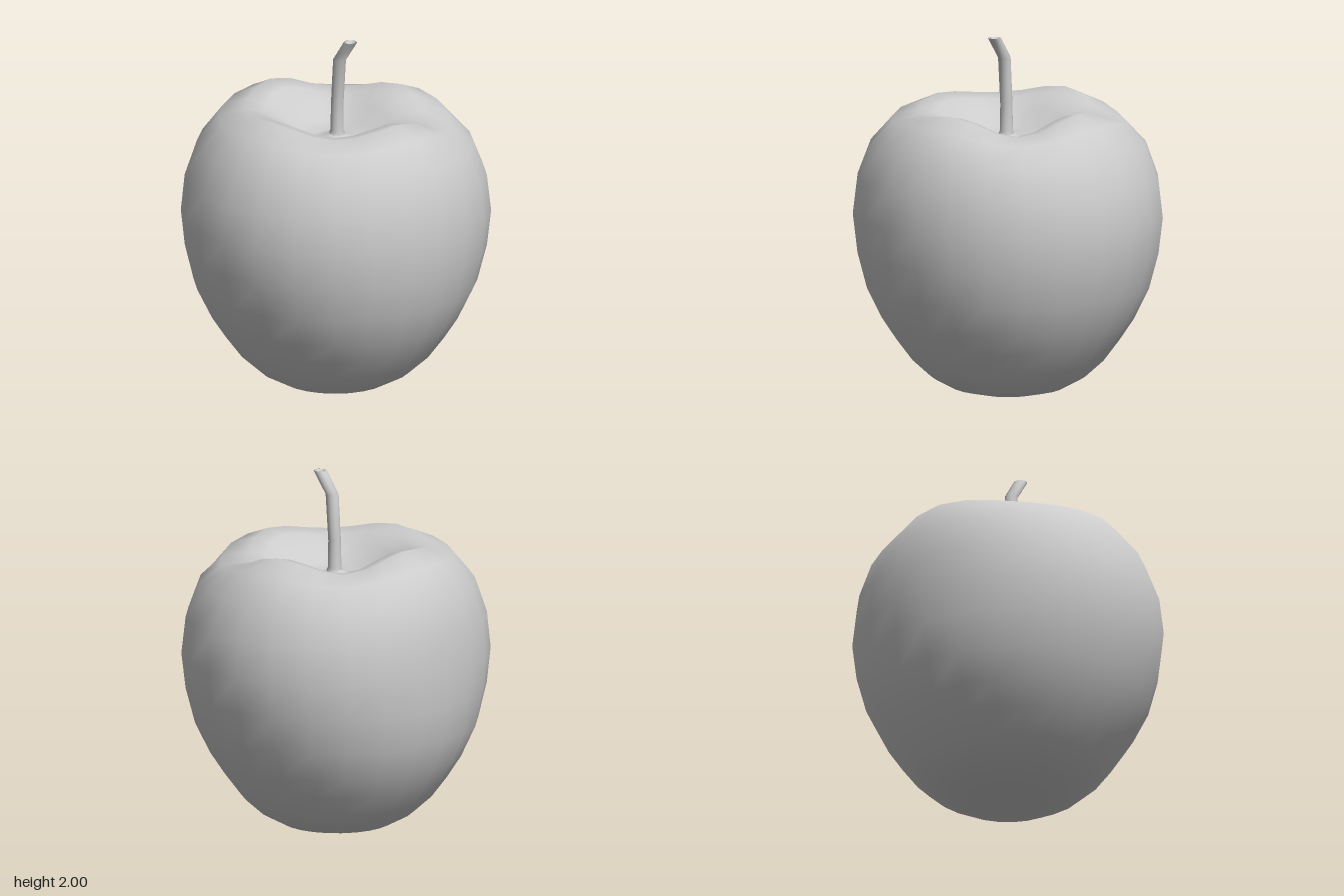
import * as THREE from 'three';

// Skin a stack of closed rings, bottom to top, with shared vertices for smooth normals
function loft(ringCount, sides, pointAt) {
  const pos = [], idx = [];
  for (let i = 0; i < ringCount; i++) {
    for (let j = 0; j < sides; j++) {
      pos.push(...pointAt(i, (j / sides) * Math.PI * 2));
      if (i === ringCount - 1) continue;
      const k = (j + 1) % sides;
      const a = i * sides + j, b = i * sides + k;
      idx.push(a, a + sides, b, b, a + sides, b + sides);
    }
  }
  const geo = new THREE.BufferGeometry();
  geo.setAttribute('position', new THREE.Float32BufferAttribute(pos, 3));
  geo.setIndex(idx);
  geo.computeVertexNormals();
  return geo;
}

// Height change of the shoulder rim every 45 degrees, from +x towards +z
const LOBES = [-0.01, -0.055, 0, -0.03, 0.025, -0.07, -0.005, -0.11];
function lobe(angle) {
  const t = (angle / (Math.PI / 4)) % 8;
  const i = Math.floor(t), f = (1 - Math.cos((t - i) * Math.PI)) / 2;
  return LOBES[i] * (1 - f) + LOBES[(i + 1) % 8] * f;
}

// Fruit rings: radius, height, share of the rim waviness, flattening of the sides
const FRUIT = [
  [0.002, 0.02, 0, 0], [0.08, 0.01, 0, 0], [0.165, 0.002, 0, 0], [0.31, 0.035, 0, 0],
  [0.43, 0.1, 0, 0], [0.53, 0.19, 0, 0], [0.62, 0.31, 0, 0],
  [0.7, 0.43, 0, 0.1], [0.785, 0.6, 0, 0.3], [0.84, 0.8, 0, 0.75],
  [0.865, 1.0, 0, 1], [0.84, 1.205, 0, 0.75], [0.765, 1.405, 0.15, 0.2],
  [0.645, 1.56, 0.65, 0], [0.5, 1.62, 1, 0], [0.4, 1.595, 0.85, 0],
  [0.31, 1.53, 0.5, 0], [0.22, 1.45, 0.2, 0], [0.14, 1.42, 0, 0],
  [0.07, 1.435, 0, 0], [0.03, 1.46, 0, 0],
];

// Stem rings: centre x, height, radius; the last two hollow the tip
const STEM = [
  [-0.005, 1.43, 0.055], [-0.005, 1.47, 0.037], [-0.004, 1.62, 0.035],
  [0.014, 1.88, 0.036], [0.1, 2.0, 0.037], [0.1, 2.0, 0.028], [0.095, 1.975, 0.002],
];

export function createModel() {
  const group = new THREE.Group();
  const material = new THREE.MeshStandardMaterial({ color: 0xcccccc, side: THREE.DoubleSide });

  // Body with a wavy shoulder and a hollow around the stem
  const fruit = new THREE.Mesh(loft(FRUIT.length, 24, (i, a) => {
    const [r, y, wave, flat] = FRUIT[i];
    const c = Math.cos(a);
    const radius = r - flat * (c > 0 ? 0.022 : 0.058) * c ** 4;
    const shift = i > 17 ? -0.01 : -0.02;
    return [shift + radius * c, y + wave * lobe(a), radius * Math.sin(a)];
  }), material);
  fruit.name = 'fruit';

  // Bent stem
  const stem = new THREE.Mesh(loft(STEM.length, 10, (i, a) => {
    const [x, y, r] = STEM[i];
    return [x + r * Math.cos(a), y, r * Math.sin(a)];
  }), material);
  stem.name = 'stem';

  group.add(fruit, stem);
  return group;
}
